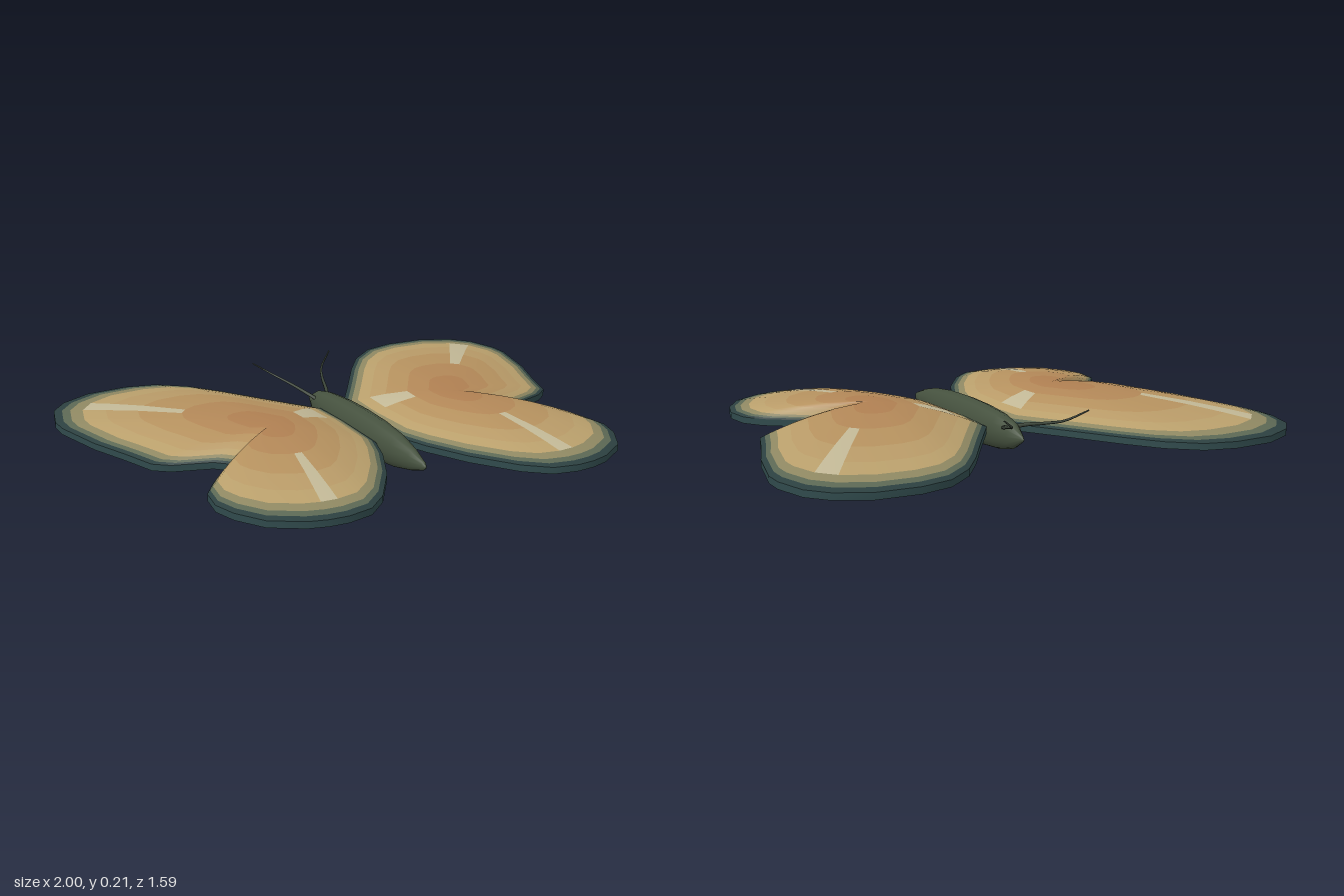
import * as THREE from 'three';

// Wing outline seen from above (x, z), clockwise from the wing root
const OUTLINE = [
  [0.04, 0.0], [0.05, -0.18], [0.17, -0.36], [0.30, -0.56], [0.39, -0.68], [0.50, -0.77], [0.62, -0.80],
  [0.78, -0.79], [0.90, -0.73], [0.965, -0.655], [1.0, -0.53], [1.0, -0.45], [0.95, -0.24], [0.89, -0.08],
  [0.845, 0.055], [0.79, 0.10], [0.65, 0.145], [0.595, 0.20], [0.625, 0.25], [0.735, 0.33], [0.785, 0.40],
  [0.80, 0.50], [0.775, 0.59], [0.71, 0.695], [0.60, 0.765], [0.53, 0.785], [0.46, 0.79], [0.365, 0.77],
  [0.28, 0.695], [0.17, 0.535], [0.09, 0.37], [0.05, 0.25],
];
const N = OUTLINE.length;
const CENTRE = [0.38, 0.08];
const THICKNESS = 0.025;
// Rings from the wing's crown (0) to its edge (1), and the colour outside each ring
const RINGS = [0, 0.2, 0.4, 0.6, 0.75, 0.86, 0.92, 0.96, 1];
const RING_NAMES = ['wingCrown', 'wingInner', 'wingMiddle', 'wingOuter', 'wingField', 'wingFade', 'wingBorder', 'wingEdge'];
const RING_COLOURS = [0xb08052, 0xb38858, 0xb6925f, 0xb99b68, 0xbaa06c, 0x8f8862, 0x5c6854, 0x2c4040];
// Pale streaks: sector -> range of rings
const STREAKS = { 0: [2, 3], 8: [2, 4], 25: [2, 4] };

const material = (color) => new THREE.MeshStandardMaterial({ color });

// A point on the domed wing
function wingPoint(i, s, drop, side) {
  const [x, z] = OUTLINE[i];
  return [
    side * (CENTRE[0] + (x - CENTRE[0]) * s),
    0.18 - 0.08 * s * s - drop,
    CENTRE[1] + (z - CENTRE[1]) * s,
  ];
}

// Grid of rows joined around the outline; nameOf(row, sector) sorts cells into parts
function addSkin(group, rows, side, flip, nameOf, colours) {
  const positions = rows.flatMap(([s, drop]) => OUTLINE.flatMap((_, i) => wingPoint(i, s, drop, side)));
  const whole = new THREE.BufferGeometry();
  whole.setAttribute('position', new THREE.Float32BufferAttribute(positions, 3));
  const parts = {};
  const all = [];
  for (let r = 0; r < rows.length - 1; r++) {
    for (let i = 0; i < N; i++) {
      const j = (i + 1) % N;
      const a = r * N + i, b = r * N + j, c = b + N, d = a + N;
      const cell = flip ? [a, d, c] : [a, c, d];
      if (rows[r][0] > 0) cell.push(...(flip ? [a, c, b] : [a, b, c]));
      const name = nameOf(r, i);
      (parts[name] ??= []).push(...cell);
      all.push(...cell);
    }
  }
  whole.setIndex(all);
  whole.computeVertexNormals();
  // The crown is one shared point, so its normals all point straight out
  if (rows[0][0] === 0) {
    const up = flip === (side < 0) ? 1 : -1;
    for (let i = 0; i < N; i++) whole.attributes.normal.setXYZ(i, 0, up, 0);
  }
  for (const [name, index] of Object.entries(parts)) {
    const geometry = new THREE.BufferGeometry();
    geometry.setAttribute('position', whole.attributes.position);
    geometry.setAttribute('normal', whole.attributes.normal);
    geometry.setIndex(index);
    const mesh = new THREE.Mesh(geometry, material(colours[name]));
    mesh.name = name;
    group.add(mesh);
  }
}

// Domed wing pair of one side: upper skin, underside and rim
function createWing(side) {
  const wing = new THREE.Group();
  wing.name = side > 0 ? 'leftWing' : 'rightWing';
  const mirrored = side < 0;
  const colours = { wingStreak: 0xc2b896, wingRim: 0x304a4c };
  RING_NAMES.forEach((name, r) => { colours[name] = RING_COLOURS[r]; });
  const nameOf = (r, i) => {
    const streak = STREAKS[i];
    return streak && r >= streak[0] && r <= streak[1] ? 'wingStreak' : RING_NAMES[r];
  };
  addSkin(wing, RINGS.map((s) => [s, 0]), side, mirrored, nameOf, colours);
  const underside = new THREE.Group();
  underside.name = 'wingUnderside';
  addSkin(underside, RINGS.map((s) => [s, THICKNESS]), side, !mirrored, nameOf, colours);
  wing.add(underside);
  addSkin(wing, [[1, 0], [1, THICKNESS]], side, mirrored, () => 'wingRim', colours);
  return wing;
}

// Spindle-shaped body lying along z
function createBody() {
  const profile = [
    [0, -0.37], [0.14, -0.355], [0.6, -0.29], [0.84, -0.2], [0.97, -0.07], [1, 0.06],
    [0.95, 0.2], [0.78, 0.33], [0.5, 0.43], [0.2, 0.5], [0, 0.52],
  ].map(([r, z]) => new THREE.Vector2(r, z));
  const geometry = new THREE.LatheGeometry(profile, 12);
  geometry.rotateX(Math.PI / 2);
  geometry.scale(0.055, 0.083, 1);
  geometry.translate(0, 0.083, 0);
  const body = new THREE.Mesh(geometry, material(0x46523f));
  body.name = 'body';
  return body;
}

// Curved feeler that thins towards its tip
function createAntenna(side) {
  const curve = new THREE.CatmullRomCurve3([
    [0.025, 0.11, -0.26], [0.045, 0.125, -0.31], [0.075, 0.145, -0.40],
    [0.11, 0.165, -0.47], [0.174, 0.207, -0.525],
  ].map(([x, y, z]) => new THREE.Vector3(side * x, y, z)));
  const segments = 12, sides = 6;
  const geometry = new THREE.TubeGeometry(curve, segments, 0.008, sides);
  const position = geometry.attributes.position;
  const v = new THREE.Vector3();
  for (let k = 0; k < position.count; k++) {
    const t = Math.floor(k / (sides + 1)) / segments;
    const centre = curve.getPointAt(t);
    v.fromBufferAttribute(position, k).sub(centre).multiplyScalar(1 - 0.65 * t).add(centre);
    position.setXYZ(k, v.x, v.y, v.z);
  }
  const antenna = new THREE.Mesh(geometry, material(0x3c463a));
  antenna.name = side > 0 ? 'leftAntenna' : 'rightAntenna';
  return antenna;
}

export function createModel() {
  const model = new THREE.Group();
  model.name = 'butterfly';
  model.add(createBody());
  for (const side of [1, -1]) model.add(createWing(side), createAntenna(side));
  return model;
}
